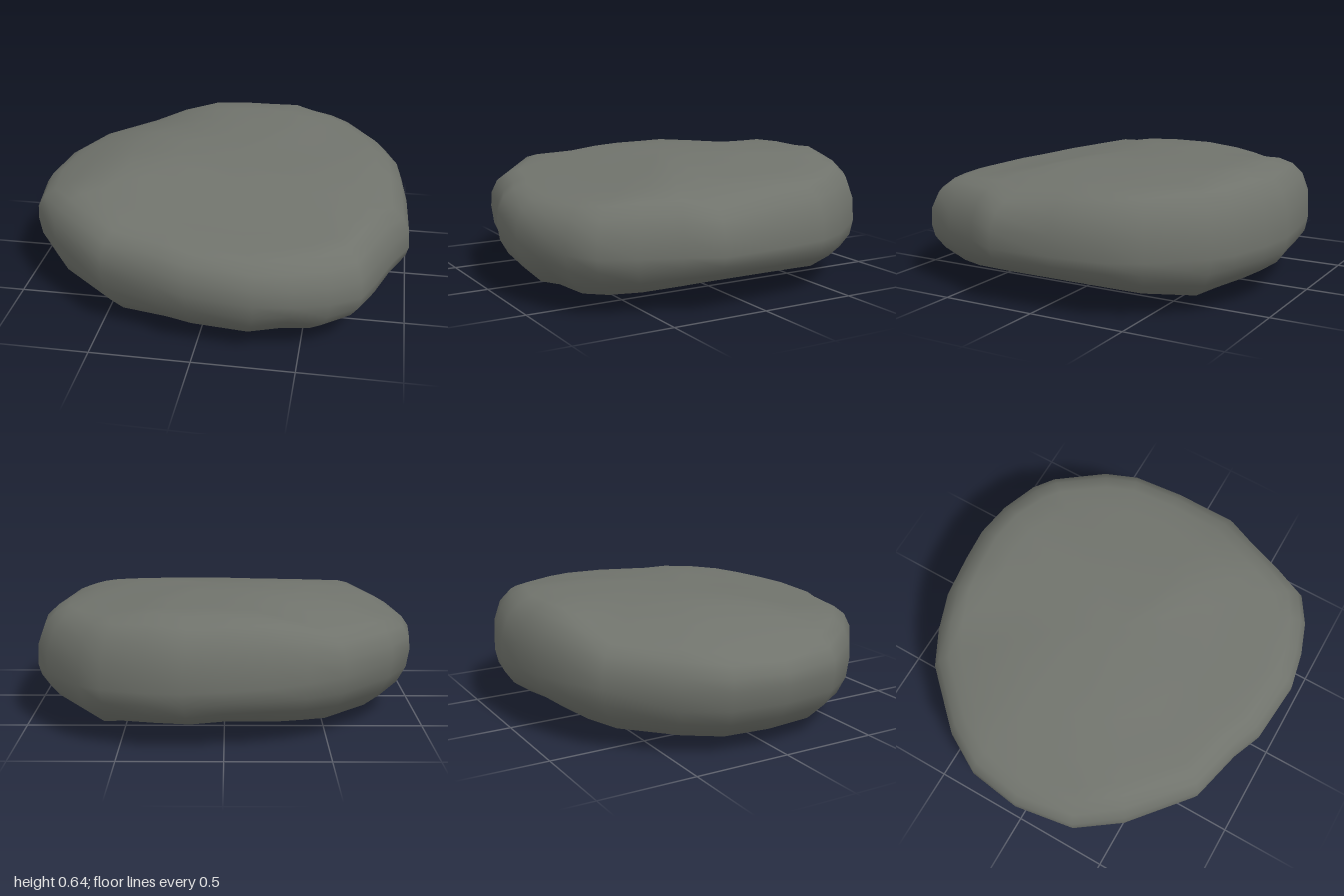
import * as THREE from 'three';
import { mergeVertices } from 'three/addons/utils/BufferGeometryUtils.js';

// Plan outline [x, z], from the left side round by the front
const outline = [
  [1, 0.23], [0.92, 0.4], [0.85, 0.6], [0.78, 0.77], [0.64, 0.86], [0.47, 0.92], [0.29, 0.955],
  [-0.04, 0.925], [-0.2, 0.86], [-0.48, 0.79], [-0.79, 0.53], [-0.95, 0.31], [-1, 0], [-0.96, -0.28],
  [-0.84, -0.49], [-0.58, -0.76], [-0.4, -0.85], [-0.2, -0.92], [0, -0.945], [0.19, -0.96],
  [0.38, -0.925], [0.58, -0.855], [0.69, -0.78], [0.88, -0.54], [0.955, -0.37], [0.985, -0.1],
];

// Height limits of the upper and lower faces along each axis [position, y]
const topX = [[-1, 0.46], [-0.9, 0.49], [-0.62, 0.6], [-0.4, 0.65], [0.33, 0.65], [0.5, 0.62], [0.8, 0.585], [1, 0.52]];
const topZ = [[-0.95, 0.54], [-0.85, 0.61], [-0.77, 0.65], [-0.2, 0.65], [0.15, 0.63], [0.55, 0.55], [0.82, 0.515], [1, 0.49]];
const lowX = [[-1, 0.13], [-0.84, 0.085], [-0.42, 0.03], [0, 0.005], [0.3, 0.07], [0.55, 0.075], [0.73, 0.1], [0.9, 0.16]];
const lowZ = [[-0.93, 0.19], [-0.8, 0.14], [-0.63, 0.07], [-0.4, 0.005], [0.02, 0.02], [0.55, 0.055], [0.8, 0.07]];

// Worn hollows and swellings [x, z, radius, change in y]
const topWear = [[-0.52, -0.7, 0.27, -0.08], [0.92, 0.25, 0.22, -0.045], [-0.55, 0.24, 0.12, -0.015]];
const lowWear = [
  [0.42, 0.94, 0.15, 0.08], [-0.1, 0.94, 0.16, 0.04], [0.8, 0.8, 0.12, 0.035],
  [-0.7, -0.62, 0.2, 0.06], [0.22, -0.92, 0.18, -0.04],
];

// Cross-section from top centre over the rim to bottom centre [fraction of radius, side of rim]
const section = [
  [0, 1], [0.25, 1], [0.5, 1], [0.7, 1], [0.83, 1], [0.9, 0.93], [0.96, 0.72], [0.995, 0.38], [1, 0],
  [0.985, -0.36], [0.94, -0.68], [0.85, -1], [0.7, -1], [0.55, -1], [0.42, -1], [0.22, -1], [0, -1],
];

function sample(table, v) {
  if (v <= table[0][0]) return table[0][1];
  for (let i = 1; i < table.length; i++) {
    const [a, ya] = table[i - 1], [b, yb] = table[i];
    if (v <= b) return ya + (yb - ya) * (v - a) / (b - a);
  }
  return table[table.length - 1][1];
}

const wear = (spots, x, z) => spots.reduce(
  (sum, [cx, cz, r, dy]) => sum + dy * Math.exp(-((x - cx) ** 2 + (z - cz) ** 2) / (r * r)), 0);

function stoneGeometry() {
  const n = outline.length, pos = [], index = [];
  section.forEach(([s, t], r) => {
    outline.forEach(([x, z], i) => {
      // the rim curves away from the face height just inside it
      const k = Math.min(s, 0.87);
      const face = t >= 0
        ? Math.min(sample(topX, x * k), sample(topZ, z * k))
        : Math.max(sample(lowX, x * k), sample(lowZ, z * k));
      const mid = 0.32 - 0.03 * x;
      const worn = wear(t >= 0 ? topWear : lowWear, x * s, z * s);
      pos.push(x * s, mid + (face + worn - mid) * Math.abs(t), z * s);
      if (r < section.length - 1) {
        const j = (i + 1) % n, a = r * n + i, b = r * n + j;
        if (r > 0) index.push(a, b, a + n);
        if (r < section.length - 2) index.push(b, b + n, a + n);
      }
    });
  });
  const g = new THREE.BufferGeometry();
  g.setAttribute('position', new THREE.Float32BufferAttribute(pos, 3));
  g.setIndex(index);
  const merged = mergeVertices(g, 1e-4);
  merged.computeVertexNormals();
  return merged;
}

export function createModel() {
  const group = new THREE.Group();
  group.name = 'flatStone';
  const stoneGrey = new THREE.MeshStandardMaterial({ color: 0x70736c });
  stoneGrey.name = 'stoneGrey';
  const stone = new THREE.Mesh(stoneGeometry(), stoneGrey);
  stone.name = 'stone';
  group.add(stone);
  return group;
}
